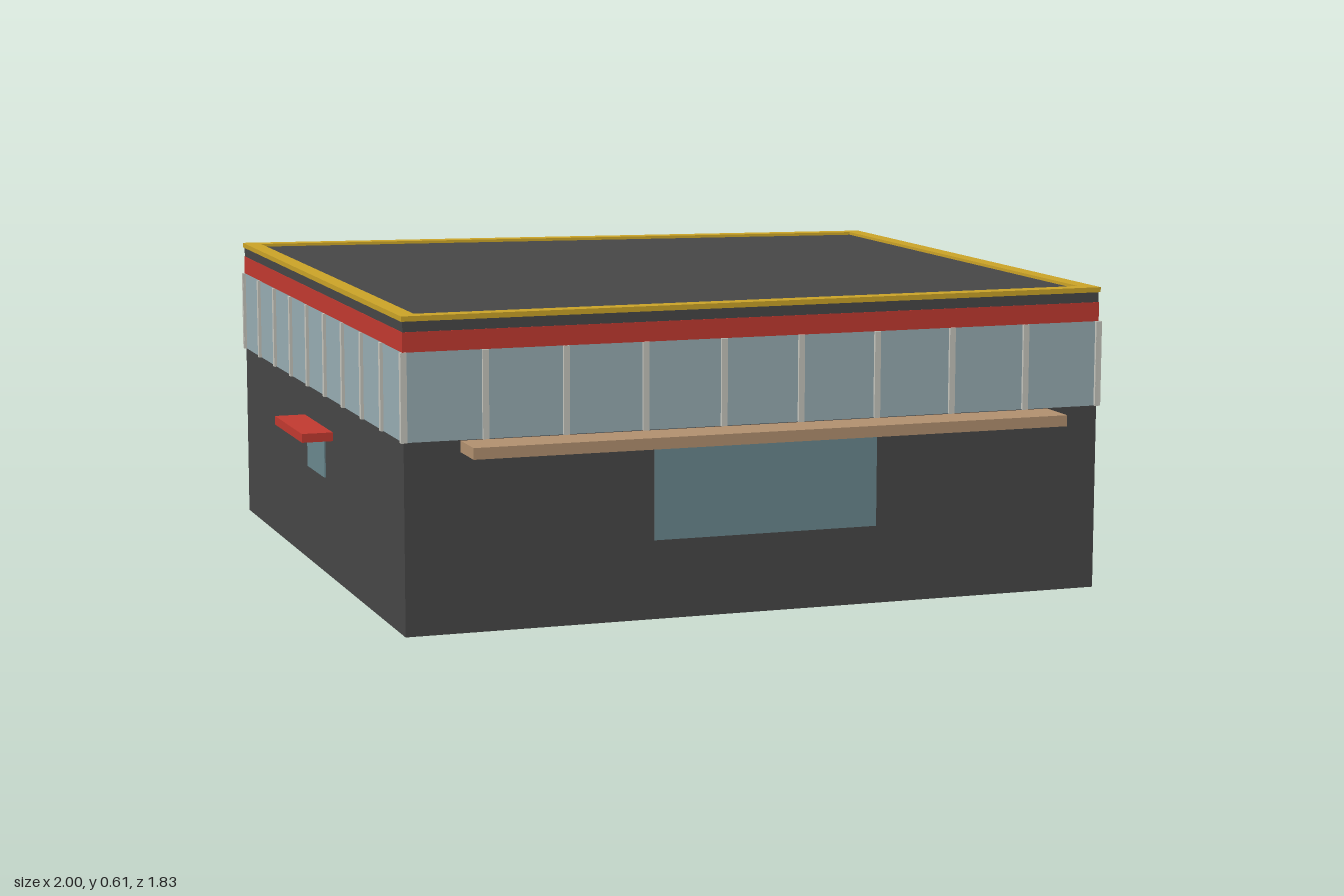
import * as THREE from 'three';

const mat = (name, color) => {
  const m = new THREE.MeshStandardMaterial({ color });
  m.name = name;
  return m;
};

// Footprint corners [x, z], in order west, south, east, north
const corners = [[-0.99, -0.107], [-0.073, 0.904], [0.989, -0.05], [0.18, -0.906]]
  .map(([x, z]) => new THREE.Vector2(x, z));

// Outward normal of the wall that starts at corner i
function wallNormal(i) {
  const d = corners[(i + 1) % 4].clone().sub(corners[i % 4]).normalize();
  return new THREE.Vector2(-d.y, d.x);
}

// Footprint moved outward by t, as points for a shape lying on the ground
function outline(t) {
  return corners.map((p, i) => {
    const a = wallNormal(i + 3), b = wallNormal(i);
    const q = a.clone().add(b).multiplyScalar(t / (1 + a.dot(b))).add(p);
    return new THREE.Vector2(q.x, -q.y);
  });
}

function prism(name, y0, y1, material, grow = 0, holeGrow = null) {
  const shape = new THREE.Shape(outline(grow));
  if (holeGrow !== null) shape.holes.push(new THREE.Path(outline(holeGrow)));
  const geo = new THREE.ExtrudeGeometry(shape, { depth: y1 - y0, bevelEnabled: false });
  geo.rotateX(-Math.PI / 2);
  geo.translate(0, y0, 0);
  const mesh = new THREE.Mesh(geo, material);
  mesh.name = name;
  return mesh;
}

// Box from its extents: along the wall, up, and outward from the wall
function slab(name, [x0, x1], [y0, y1], [z0, z1], material) {
  const mesh = new THREE.Mesh(new THREE.BoxGeometry(x1 - x0, y1 - y0, z1 - z0), material);
  mesh.position.set((x0 + x1) / 2, (y0 + y1) / 2, (z0 + z1) / 2);
  mesh.name = name;
  return mesh;
}

export function createModel() {
  const dark = mat('charcoal', 0x464646);
  const glass = mat('pale glass', 0x96abb1);
  const pane = mat('window glass', 0x69868d);
  const red = mat('red', 0xc0392f);
  const gold = mat('gold', 0xc9a227);
  const wood = mat('wood', 0xb08f6e);
  const frame = mat('light frame', 0xc4c4bc);

  const model = new THREE.Group();
  model.name = 'building';

  // Stacked storeys and bands
  model.add(
    prism('lowerWalls', 0, 0.37, dark),
    prism('glassBand', 0.37, 0.54, glass),
    prism('redBand', 0.54, 0.578, red, 0.001),
    prism('roof', 0.578, 0.602, dark),
    prism('roofTrim', 0.598, 0.608, gold, 0.003, -0.03),
  );

  // One group per wall: local x runs along the wall, z points outward
  const walls = [['streetWall', 9], ['counterWall', 9], ['rearWall', 7], ['sideWall', 9]]
    .map(([name, bays], i) => {
      const a = corners[i], d = corners[(i + 1) % 4].clone().sub(a);
      const length = d.length();
      const wall = new THREE.Group();
      wall.name = name;
      wall.position.set(a.x, 0, a.y);
      wall.rotation.y = Math.atan2(-d.y, d.x);
      // Mullions between the glass bays
      for (let k = 0; k <= bays; k++) {
        const x = (length * k) / bays;
        wall.add(slab('mullion', [x - 0.006, x + 0.006], [0.37, 0.54], [-0.006, 0.006], frame));
      }
      model.add(wall);
      return wall;
    });

  // Small hatch under a red awning
  walls[0].add(
    slab('hatchWindow', [0.595, 0.745], [0.2, 0.282], [-0.002, 0.003], pane),
    slab('hatchAwning', [0.565, 0.81], [0.286, 0.304], [-0.002, 0.064], red),
  );

  // Large window under a long wooden canopy
  walls[1].add(
    slab('largeWindow', [0.494, 0.953], [0.155, 0.335], [-0.002, 0.003], pane),
    slab('woodenCanopy', [0.11, 1.32], [0.347, 0.369], [-0.002, 0.089], wood),
  );

  return model;
}
